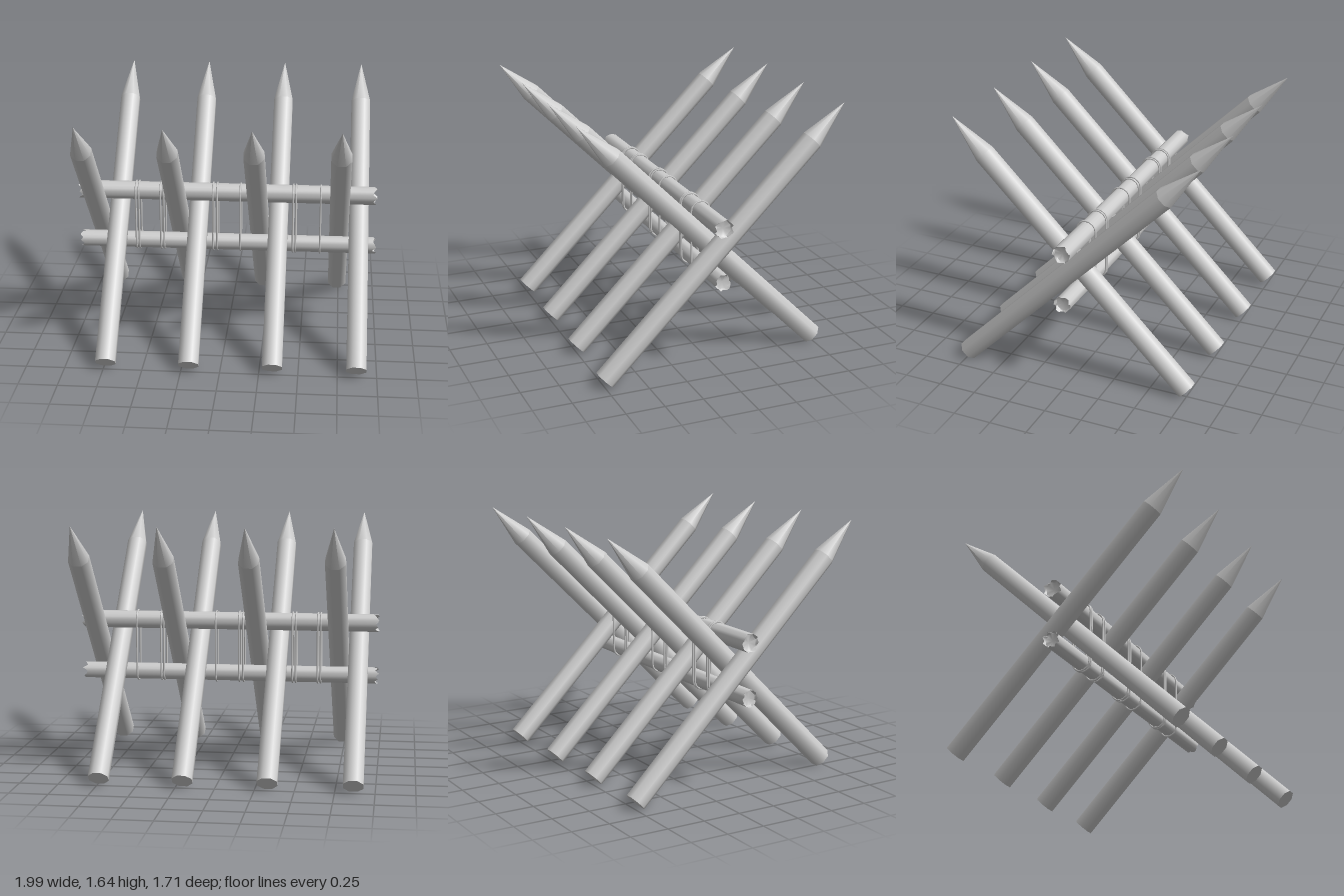
import * as THREE from 'three';
import { mergeGeometries, toCreasedNormals } from 'three/addons/utils/BufferGeometryUtils.js';

const material = new THREE.MeshStandardMaterial({ color: 0xcccccc });

const STAKE_RADIUS = 0.069;
const SHAFT = 1.95;
const POINT = 0.31;

// Eight-sided pole with a sharpened point, foot at the origin
function stakeGeometry() {
  const shaft = new THREE.CylinderGeometry(STAKE_RADIUS, STAKE_RADIUS, SHAFT, 8, 1, false, Math.PI / 8);
  shaft.translate(0, SHAFT / 2, 0);
  const point = new THREE.ConeGeometry(STAKE_RADIUS, POINT, 8, 1, true, Math.PI / 8);
  point.translate(0, SHAFT + POINT / 2, 0);
  return mergeGeometries([shaft, point]);
}

// Octagonal log along x with splintered, hollowed ends
function railGeometry(radius, shift) {
  const chips = [0.03, 0.012, 0, 0.02, 0.004, 0.028, 0.01, 0.024, 0.002, 0.016, 0.03, 0.006, 0.02, 0, 0.026, 0.008];
  const half = 0.995;
  const inner = radius * 0.85;
  const profile = [[0, -half + 0.04], [inner, -half + 0.03], [radius, -half],
    [radius, half], [inner, half - 0.03], [0, half - 0.04]].map(([r, y]) => new THREE.Vector2(r, y));
  const geometry = new THREE.LatheGeometry(profile, 16, Math.PI / 8);
  const p = geometry.attributes.position;
  for (let v = 0; v < p.count; v++) {
    const side = Math.floor(v / 6) % 16;
    const ring = v % 6;
    const flat = side % 2 ? Math.cos(Math.PI / 8) : 1;
    let y = p.getY(v);
    if (ring === 2) y += chips[(side + shift) % 16];
    if (ring === 3) y -= chips[(side * 3 + shift) % 16];
    p.setXYZ(v, p.getX(v) * flat, y, p.getZ(v) * flat);
  }
  geometry.rotateZ(-Math.PI / 2);
  return toCreasedNormals(geometry, 0.9);
}

// Closed cord running round both rails in the y-z plane
function lashingGeometry(top, bottom) {
  const path = new THREE.CurvePath();
  const corners = [];
  for (const [rail, start] of [[top, 0], [bottom, Math.PI]]) {
    for (let i = 0; i <= 8; i++) {
      const a = start + (i / 8) * Math.PI;
      const r = rail.radius + 0.004;
      corners.push(new THREE.Vector3(0, rail.y + Math.sin(a) * r, Math.cos(a) * r));
    }
  }
  corners.forEach((c, i) => path.add(new THREE.LineCurve3(c, corners[(i + 1) % corners.length])));
  return new THREE.TubeGeometry(path, 72, 0.006, 6, true);
}

export function createModel() {
  const model = new THREE.Group();
  const add = (name, geometry, x, y, z) => {
    const mesh = new THREE.Mesh(geometry, material);
    mesh.name = name;
    mesh.position.set(x, y, z);
    model.add(mesh);
    return mesh;
  };

  // Four crossed pairs of stakes
  const stake = stakeGeometry();
  for (let i = 0; i < 4; i++) {
    const x = -0.8 + i * 0.535;
    add('forwardStake', stake, x - 0.065, 0.053, -0.745).rotation.x = Math.PI / 4;
    add('backwardStake', stake, x + 0.065, 0.053, 0.745).rotation.x = -Math.PI / 4;
  }

  // Rails above and below the crossings
  const top = { y: 0.97, radius: 0.06 };
  const bottom = { y: 0.62, radius: 0.055 };
  add('upperRail', railGeometry(top.radius, 0), -0.005, top.y, 0);
  add('lowerRail', railGeometry(bottom.radius, 5), -0.005, bottom.y, 0);

  // Cord lashings
  const lashing = lashingGeometry(top, bottom);
  for (const x of [-0.615, -0.595, -0.45, -0.428, -0.1, -0.072, 0.083, 0.433, 0.452, 0.615]) {
    add('lashing', lashing, x, 0, 0);
  }
  return model;
}
